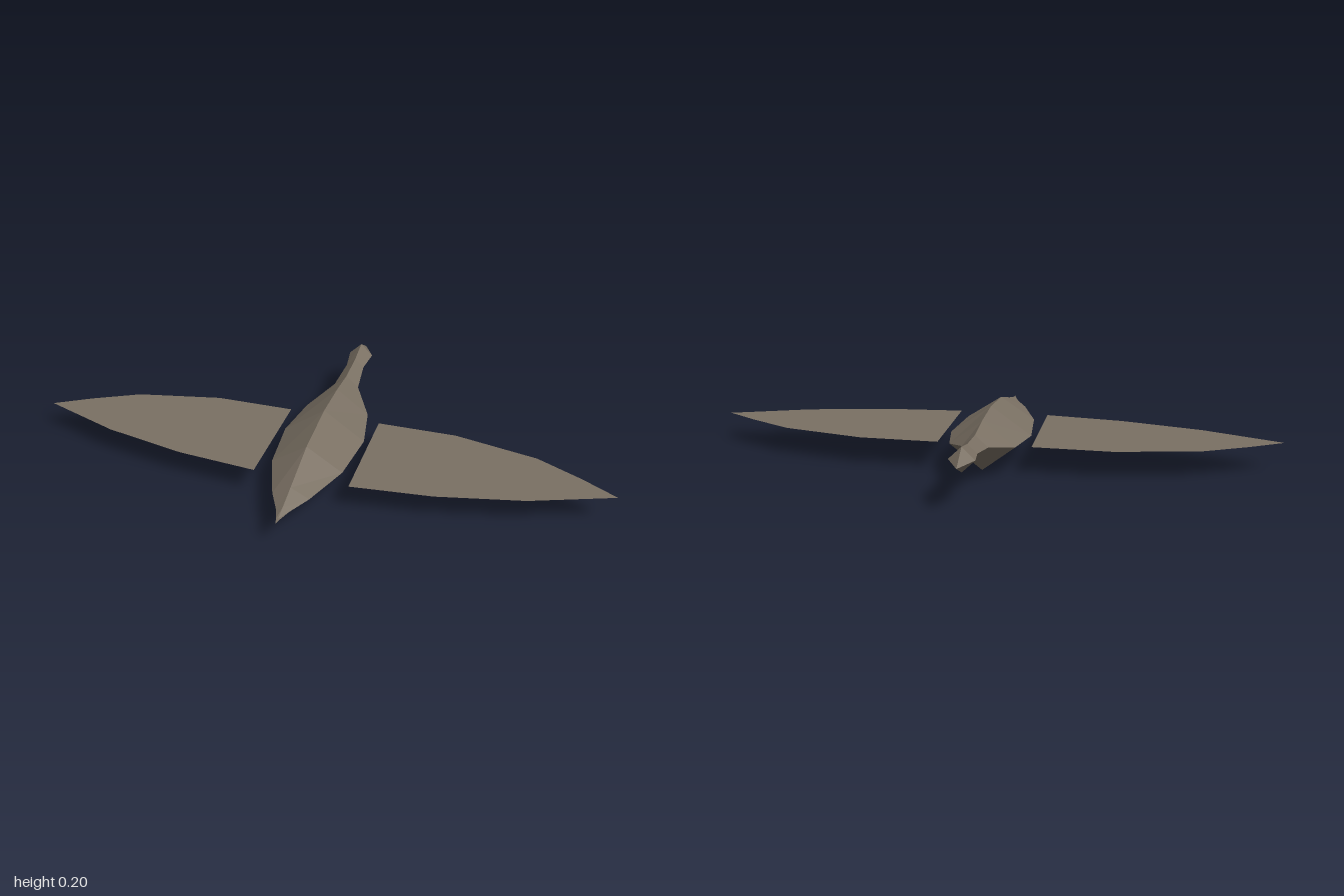
import * as THREE from 'three';

export function createModel() {
  const group = new THREE.Group();
  const plumage = new THREE.MeshStandardMaterial({ color: 0x7a7063, flatShading: true, side: THREE.DoubleSide });
  plumage.name = 'plumage';

  // Body: diamond cross-sections from tail to beak [z, halfWidth, top, middle, bottom]
  const sections = [
    [0.54, 0, 0.1, 0.1, 0.1],
    [0.513, 0.007, 0.101, 0.1, 0.099],
    [0.47, 0.022, 0.112, 0.1, 0.088],
    [0.39, 0.062, 0.133, 0.1, 0.067],
    [0.22, 0.122, 0.18, 0.1, 0.02],
    [0.02, 0.142, 0.2, 0.1, 0],
    [-0.14, 0.113, 0.193, 0.107, 0.02],
    [-0.26, 0.044, 0.18, 0.14, 0.097],
    [-0.38, 0.032, 0.187, 0.157, 0.127],
    [-0.465, 0.043, 0.205, 0.163, 0.122],
    [-0.54, 0, 0.158, 0.158, 0.158],
  ];
  const positions = [];
  const index = [];
  sections.forEach(([z, w, top, mid, bottom], i) => {
    positions.push(0, top, z, w, mid, z, 0, bottom, z, -w, mid, z);
    if (i === 0) return;
    for (let k = 0; k < 4; k++) {
      const a = (i - 1) * 4 + k, b = (i - 1) * 4 + (k + 1) % 4;
      // Pointed ends need only one triangle per side
      if (i < sections.length - 1) index.push(a, b + 4, a + 4);
      if (i > 1) index.push(a, b, b + 4);
    }
  });
  const bodyGeometry = new THREE.BufferGeometry();
  bodyGeometry.setAttribute('position', new THREE.Float32BufferAttribute(positions, 3));
  bodyGeometry.setIndex(index);
  bodyGeometry.computeVertexNormals();
  const body = new THREE.Mesh(bodyGeometry, plumage);
  body.name = 'body';
  group.add(body);

  // Wings: flat outlines [x, z], mirrored and set apart from the body
  const outline = [
    [0.162, -0.107], [0.437, -0.107], [0.725, -0.047], [0.88, 0.03],
    [1, 0.1], [0.725, 0.2], [0.437, 0.262], [0.162, 0.288],
  ];
  for (const side of [1, -1]) {
    const shape = new THREE.Shape(outline.map(([x, z]) => new THREE.Vector2(side * x, -z)));
    const wing = new THREE.Mesh(new THREE.ShapeGeometry(shape).rotateX(-Math.PI / 2), plumage);
    wing.name = side > 0 ? 'leftWing' : 'rightWing';
    wing.position.y = 0.1;
    group.add(wing);
  }
  return group;
}
